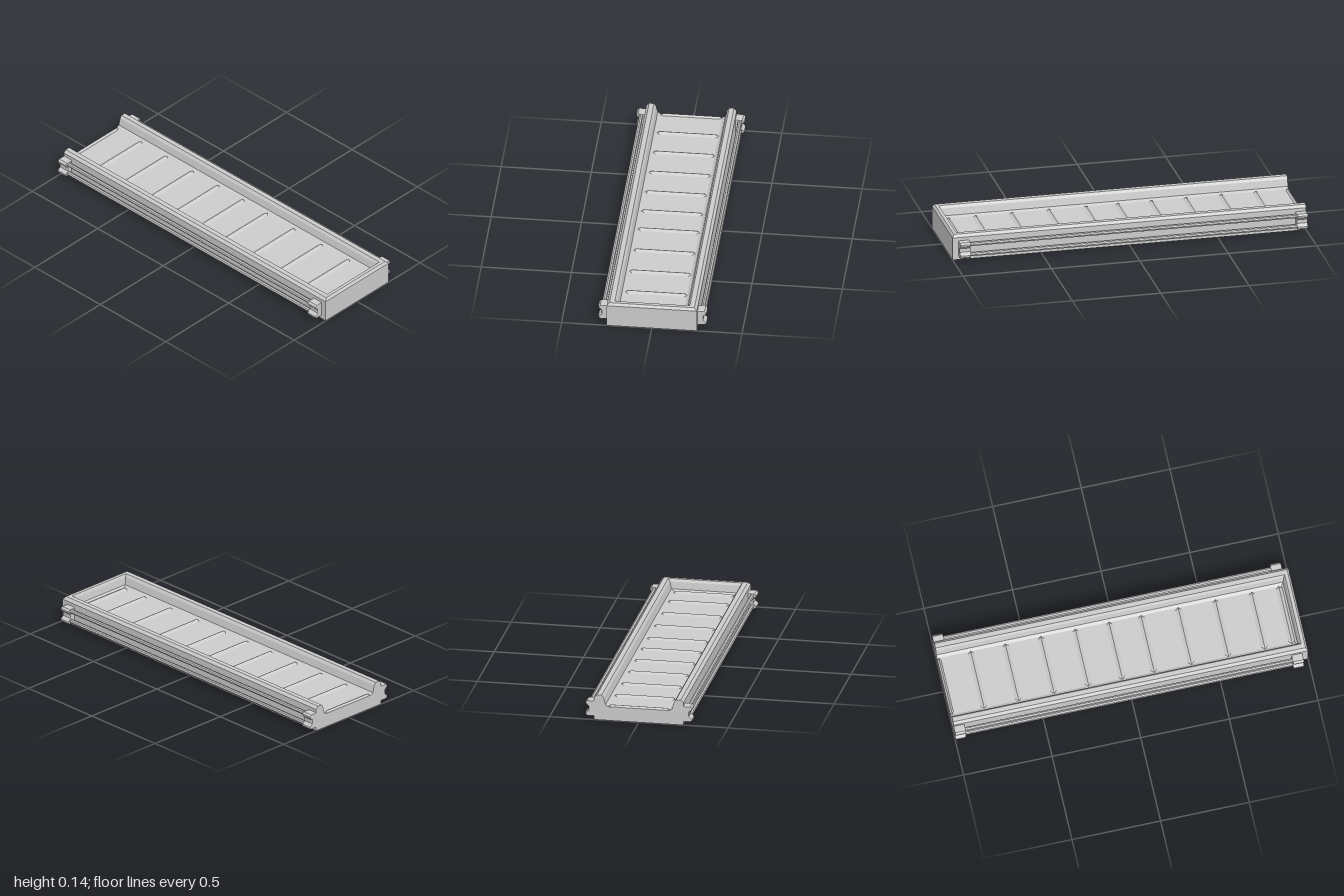
import * as THREE from 'three';
import { ConvexGeometry } from 'three/addons/geometries/ConvexGeometry.js';

const material = new THREE.MeshStandardMaterial({ color: 0xcccccc, flatShading: true, side: THREE.DoubleSide });
const FLOOR = 0.08;

// Wall profile (x, y): up the outside, over the chamfered rim, down to the floor
const profile = [[0.25, 0], [0.25, 0.13], [0.235, 0.145], [0.208, 0.145],
  [0.197, 0.13], [0.187, 0.09], [0.17, FLOOR]];

function add(parent, name, geometry, x = 0, y = 0, z = 0) {
  const mesh = new THREE.Mesh(geometry, material);
  mesh.name = name;
  mesh.position.set(x, y, z);
  parent.add(mesh);
  return mesh;
}

// Tray: the profile swept along a mitred U, open at the back
function trayGeometry() {
  const rings = profile.map(([x, y]) => {
    const front = 1 - (0.25 - x) * 0.7;
    return [[-x, y, -1], [-x, y, front], [x, y, front], [x, y, -1]];
  });
  const pos = [];
  const quad = (a, b, c, d) => pos.push(...a, ...b, ...c, ...a, ...c, ...d);
  for (let i = 0; i < rings.length - 1; i++) {
    for (let k = 0; k < 3; k++) {
      quad(rings[i][k], rings[i][k + 1], rings[i + 1][k + 1], rings[i + 1][k]);
    }
  }
  quad(...rings[rings.length - 1]); // floor
  quad(...[...rings[0]].reverse()); // underside
  const geometry = new THREE.BufferGeometry();
  geometry.setAttribute('position', new THREE.Float32BufferAttribute(pos, 3));
  geometry.computeVertexNormals();
  return geometry;
}

// Back end face: both wall ends joined by the floor edge
function backGeometry() {
  const right = profile.map(([x, y]) => new THREE.Vector2(x, y));
  const left = profile.map(([x, y]) => new THREE.Vector2(-x, y)).reverse();
  return new THREE.ShapeGeometry(new THREE.Shape([...right, ...left]));
}

// Low ridge with pointed ends
function slatGeometry(half) {
  const points = [];
  for (const s of [-1, 1]) {
    points.push(new THREE.Vector3(s * 0.172, 0, 0), new THREE.Vector3(s * 0.155, 0.01, 0),
      new THREE.Vector3(s * 0.155, 0, half), new THREE.Vector3(s * 0.155, 0, -half));
  }
  return new ConvexGeometry(points);
}

// Notched bracket holding the rails
function bracketGeometry() {
  const outline = [[0.245, 0.022], [0.288, 0.022], [0.297, 0.03], [0.297, 0.037], [0.279, 0.053],
    [0.279, 0.077], [0.297, 0.093], [0.297, 0.1], [0.288, 0.108], [0.245, 0.108]];
  const shape = new THREE.Shape(outline.map(([x, y]) => new THREE.Vector2(x, y)));
  const geometry = new THREE.ExtrudeGeometry(shape, {
    depth: 0.05, bevelEnabled: true, bevelSize: 0.003, bevelThickness: 0.005, bevelSegments: 1,
  });
  return geometry.translate(0, 0, -0.025);
}

export function createModel() {
  const model = new THREE.Group();
  model.name = 'tray';
  add(model, 'trayBody', trayGeometry());
  add(model, 'backEnd', backGeometry(), 0, 0, -1).rotation.y = Math.PI;

  // Cross slats on the floor
  const slat = slatGeometry(0.018);
  for (const z of [-0.81, -0.615, -0.415, -0.22, -0.03, 0.15, 0.36, 0.57, 0.775, 0.928]) {
    add(model, 'slat', slat, 0, FLOOR, z);
  }
  add(model, 'backSlat', slatGeometry(0.01), 0, FLOOR, -0.99);

  // Side rails and their end brackets
  const bracket = bracketGeometry();
  const rail = new THREE.CylinderGeometry(0.012, 0.012, 1.9, 8).rotateX(Math.PI / 2);
  for (const side of [1, -1]) {
    const group = new THREE.Group();
    group.name = side > 0 ? 'leftRails' : 'rightRails';
    for (const z of [0.937, -0.97]) add(group, 'railBracket', bracket, 0, 0, z);
    for (const y of [0.035, 0.095]) add(group, 'rail', rail, 0.274, y, -0.016);
    if (side < 0) group.rotation.z = Math.PI;
    if (side < 0) group.position.y = 0.13; // brackets are symmetric about y = 0.065
    model.add(group);
  }
  return model;
}
